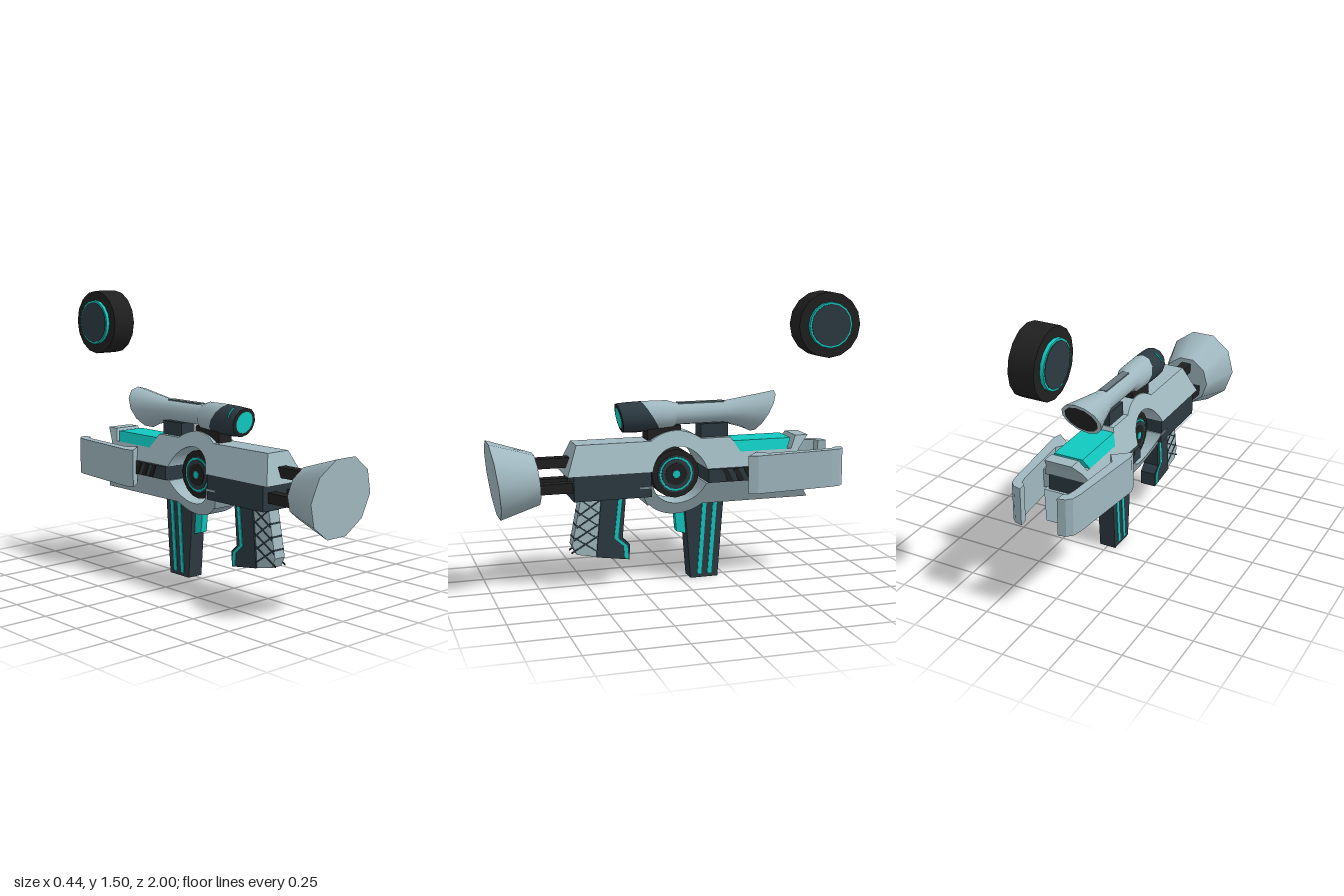
import * as THREE from 'three';

const mat = (name, color, extra = {}) => Object.assign(new THREE.MeshStandardMaterial({ color, ...extra }), { name });

export function createModel() {
  const model = new THREE.Group();
  model.name = 'spaceBlaster';
  const grey = mat('paleGrey', 0xa0b8c0);
  const slate = mat('darkSlate', 0x2c3a42);
  const black = mat('black', 0x202020);
  const cyan = mat('cyan', 0x10c8c0);
  const midGrey = mat('midGrey', 0x66777d);

  const add = (name, geo, material, parent = model) => {
    const m = new THREE.Mesh(geo, material);
    m.name = name;
    parent.add(m);
    return m;
  };
  const outline = (pts) => new THREE.Shape(pts.map((p) => new THREE.Vector2(p[0], p[1])));
  const box = (name, material, x, y, z, w, h, d) =>
    add(name, new THREE.BoxGeometry(w, h, d).translate(x, y, z), material);

  // Side outline in (z, y), given a half width that may vary with height
  const slab = (name, shape, width, material) => {
    const geo = new THREE.ExtrudeGeometry(shape, { depth: 2, bevelEnabled: false, curveSegments: 20 });
    geo.translate(0, 0, -1).rotateY(-Math.PI / 2);
    const p = geo.attributes.position;
    for (let i = 0; i < p.count; i++) {
      const w = typeof width === 'number' ? width : width(p.getY(i));
      p.setX(i, p.getX(i) * w);
    }
    geo.computeVertexNormals();
    return add(name, geo, material);
  };

  // Thin painted plates on both sides of a part
  const plates = (name, pts, halfWidth, material) => {
    for (const s of [-1, 1]) {
      const geo = new THREE.ExtrudeGeometry(outline(pts), { depth: 0.006, bevelEnabled: false });
      add(name, geo.rotateY(-Math.PI / 2).translate(s * halfWidth + 0.003, 0, 0), material);
    }
  };
  const stripe = (path, dz, dy = 0) => [...path, ...path.map((p) => [p[0] + dz, p[1] + dy]).reverse()];

  // Round part along z; each ring is [z, centreY, radius, shear of z with height]
  const loft = (name, rings, material, sides = 12, phase = 0) => {
    const geo = new THREE.LatheGeometry(rings.map((r) => new THREE.Vector2(r[2], r[0])), sides, phase);
    geo.rotateX(Math.PI / 2);
    const p = geo.attributes.position;
    for (let i = 0; i < p.count; i++) {
      const [, cy, , shear] = rings[i % rings.length];
      p.setZ(i, p.getZ(i) + p.getY(i) * shear);
      p.setY(i, p.getY(i) + cy);
    }
    return add(name, geo, material);
  };
  const frontCap = (name, ring, material, sides, phase) =>
    loft(name, [ring, [ring[0], ring[1], 0, ring[3]]], material, sides, phase);
  const rearCap = (name, ring, material, sides, phase) =>
    loft(name, [[ring[0], ring[1], 0, ring[3]], ring], material, sides, phase);

  // Disc with its axis across the body
  const disc = (name, material, y, z, r, halfWidth, r2 = r, sides = 16) => {
    for (const s of [-1, 1]) {
      const geo = new THREE.CylinderGeometry(r2, r, halfWidth, sides).translate(0, halfWidth / 2, 0);
      add(name, geo.rotateZ(-s * Math.PI / 2).translate(0, y, z), material);
    }
  };

  // Flared butt
  const butt = [[0.757, 0.583, 0.135, 0.1], [0.975, 0.588, 0.205, 0.13]];
  loft('buttCone', butt, grey, 10, Math.PI / 2);
  frontCap('buttFace', butt[1], grey, 10, Math.PI / 2);
  rearCap('buttInnerFace', butt[0], grey, 10, Math.PI / 2);
  for (const [x, y] of [[0, 0.661], [0.065, 0.541], [-0.065, 0.541]])
    box('buttRod', black, x, y, 0.665, 0.055, 0.052, 0.21);

  // Body shells arching around the round side opening
  const CZ = 0.03, CY = 0.573, HOLE = 0.15;
  const upperWidth = (y) => 0.135 - (y - 0.605) * 0.433;
  const lowerWidth = (y) => 0.05 + (y - 0.36) * 0.47;
  const aIn = Math.asin((0.605 - CY) / HOLE), aOut = Math.asin((0.755 - CY) / 0.227);
  const upper = outline([[0.56, 0.755], [0.62, 0.605], [CZ + HOLE * Math.cos(aIn), 0.605]]);
  upper.absarc(CZ, CY, HOLE, aIn, Math.PI - aIn, false);
  for (const [z, y] of [[-0.6, 0.605], [-0.64, 0.68], [-0.7, 0.745], [-0.63, 0.745], [-0.595, 0.68], [-0.31, 0.68], [-0.265, 0.755]])
    upper.lineTo(z, y);
  upper.absarc(CZ, CY, 0.227, Math.PI - aOut, aOut, true);
  slab('upperShell', upper, upperWidth, grey);

  const bIn = Math.asin((CY - 0.53) / HOLE), bOut = Math.asin((CY - 0.41) / 0.213);
  const lower = outline([[0.245, 0.53], [0.19, 0.42]]);
  lower.absarc(CZ, CY, 0.213, -0.78, -Math.PI + bOut, true);
  for (const [z, y] of [[-0.7, 0.41], [-0.62, 0.53]]) lower.lineTo(z, y);
  lower.absarc(CZ, CY, HOLE, Math.PI + bIn, 2 * Math.PI - bIn, false);
  slab('lowerShell', lower, lowerWidth, grey);

  slab('topPanel', outline([[-0.27, 0.735], [-0.31, 0.678], [-0.57, 0.678], [-0.6, 0.735]]), upperWidth, cyan);
  box('frontCore', slate, 0, 0.541, 0.383, 0.25, 0.132, 0.405);
  box('rearCore', slate, 0, 0.57, -0.365, 0.22, 0.09, 0.48);
  box('ventBlock', slate, 0, 0.569, -0.25, 0.3, 0.07, 0.26);
  for (const z of [-0.19, -0.25, -0.31])
    plates('ventRib', stripe([[z, 0.604], [z - 0.035, 0.535]], -0.03), 0.152, black);

  // Hub floating in the opening
  disc('hubRim', black, CY, CZ, 0.128, 0.05);
  disc('hubFace', slate, CY, CZ, 0.1, 0.056);
  disc('hubRing', cyan, CY, CZ, 0.09, 0.06);
  disc('hubInnerFace', slate, CY, CZ, 0.08, 0.063);
  disc('hubCap', black, CY, CZ, 0.058, 0.066);
  disc('hubLight', cyan, CY, CZ, 0.02, 0.069);

  // Detached wheel above the rear
  disc('wheelTyre', black, 1.325, -0.82, 0.175, 0.066);
  disc('wheelRing', cyan, 1.325, -0.82, 0.127, 0.084, 0.122);
  disc('wheelFace', slate, 1.325, -0.82, 0.112, 0.087);

  // Curved side guards
  const guard = [[0.12, -0.39], [0.21, -0.315], [0.222, -0.365], [0.178, -0.8], [0.166, -0.85], [0.14, -0.875],
    [0.1, -0.885], [0.104, -0.84], [0.125, -0.825], [0.135, -0.78], [0.16, -0.45]];
  for (const s of [-1, 1]) {
    const geo = new THREE.ExtrudeGeometry(outline(guard.map(([x, z]) => [s * x, -z])), { depth: 0.2, bevelEnabled: false });
    add(s > 0 ? 'leftGuard' : 'rightGuard', geo.rotateX(-Math.PI / 2).translate(0, 0.475, 0), grey);
    box('guardBracket', grey, s * 0.13, 0.575, -0.5, 0.08, 0.1, 0.18);
  }

  // Magazine with light stripes, and trigger
  slab('magazine', outline([[-0.02, 0.43], [-0.055, 0], [-0.205, 0], [-0.237, 0.43]]), 0.045, slate);
  plates('magazineStripe', stripe([[-0.12, 0.41], [-0.092, 0.02]], -0.022), 0.045, cyan);
  plates('magazineStripe', stripe([[-0.178, 0.41], [-0.148, 0.02]], -0.022), 0.045, cyan);
  slab('trigger', outline([[0.03, 0.4], [0.015, 0.255], [-0.035, 0.24], [-0.025, 0.4]]), 0.02, cyan);

  // Handle with crosshatched grip
  slab('handle', outline([[0.425, 0.48], [0.455, 0.155], [0.28, 0.13], [0.275, 0.21], [0.315, 0.245], [0.295, 0.48]]), 0.043, slate);
  plates('handleStripe', stripe([[0.335, 0.475], [0.36, 0.25], [0.31, 0.205], [0.305, 0.137]], -0.02), 0.043, cyan);
  slab('grip', outline([[0.53, 0.48], [0.58, 0.225], [0.557, 0.175], [0.45, 0.155], [0.42, 0.48]]), 0.034, grey);
  const frontEdge = (y) => 0.527 + (0.475 - y) * 0.2;
  const backEdge = (y) => 0.42 + (0.475 - y) * 0.11;
  for (let i = 0; i < 4; i++) {
    const y = 0.465 - i * 0.065, d = 0.08;
    plates('gripHatch', stripe([[frontEdge(y), y], [backEdge(y - d), y - d]], 0, -0.009), 0.034, slate);
    plates('gripHatch', stripe([[backEdge(y), y], [frontEdge(y - d), y - d]], 0, -0.009), 0.034, slate);
    box('gripRidge', slate, 0, y - 0.005, frontEdge(y) + 0.002, 0.069, 0.009, 0.007);
  }

  // Scope: mount, eyepiece, tube and flared bell
  box('scopeMountFront', black, 0, 0.79, 0.09, 0.09, 0.075, 0.18);
  box('scopeMountRear', slate, 0, 0.787, -0.185, 0.09, 0.08, 0.15);
  const eye = [0.318, 0.873, 0.076, 0.2], joint = [0.155, 0.877, 0.078, 0.62];
  loft('scopeEyepiece', [joint, [0.25, 0.873, 0.08, 0.3], eye], slate);
  frontCap('scopeEyepieceRim', eye, black);
  frontCap('scopeLens', [0.322, 0.873, 0.056, 0.2], cyan, 16);
  const bell = [-0.465, 0.875, 0.106, -0.62];
  loft('scopeTube', [bell, [-0.38, 0.878, 0.085, -0.4], [-0.25, 0.881, 0.058, -0.1], [0.02, 0.881, 0.058, 0],
    [0.05, 0.879, 0.075, 0.2], joint], grey);
  rearCap('scopeBellRim', bell, grey);
  rearCap('scopeBellOpening', [-0.468, 0.875, 0.088, -0.62], black);
  box('scopeRail', midGrey, 0, 0.92, -0.12, 0.04, 0.04, 0.25);
  add('scopeMark', new THREE.TorusGeometry(0.079, 0.005, 4, 6, 0.8).rotateZ(2).translate(0, 0.873, 0.28), cyan);

  return model;
}
